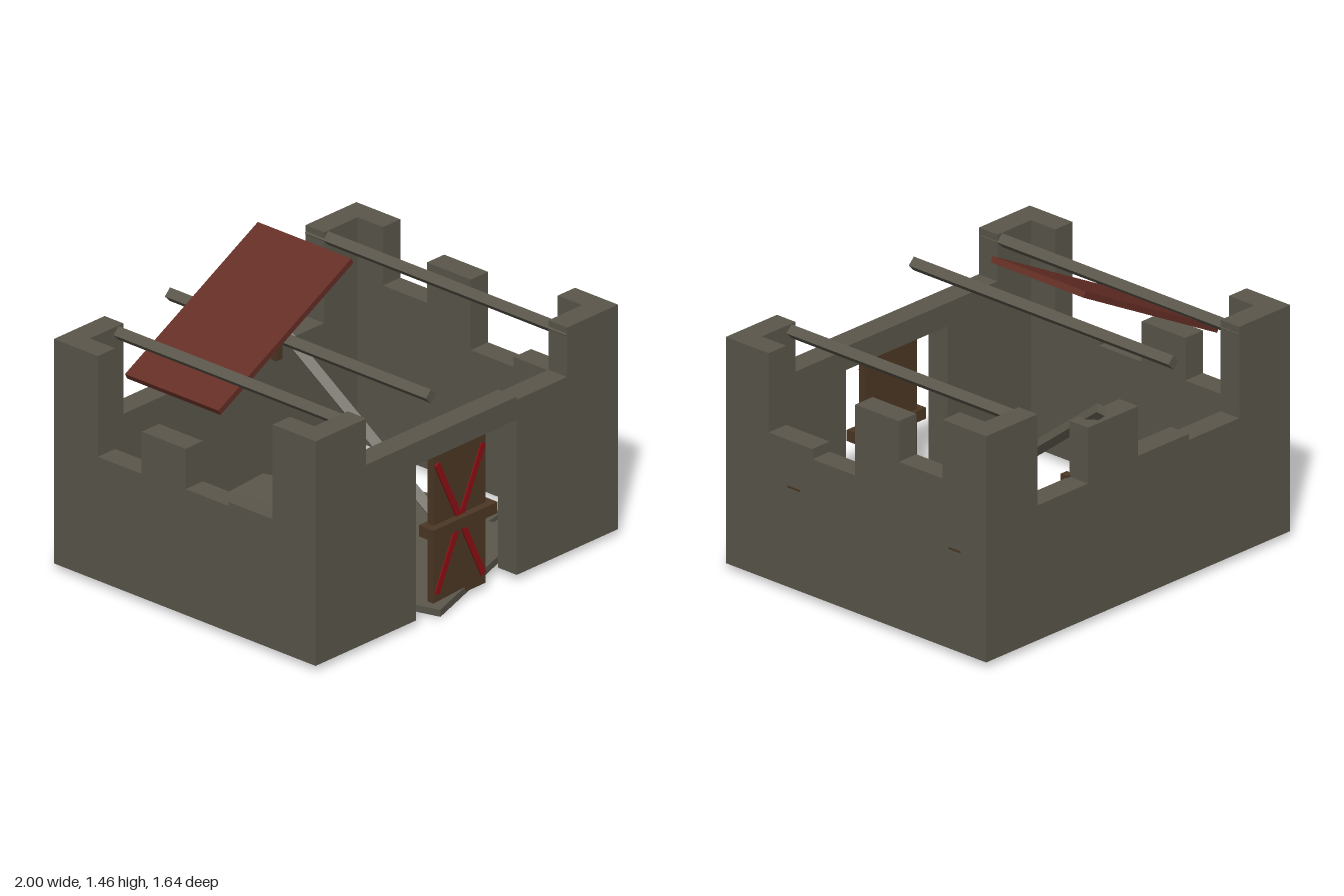
import * as THREE from 'three';

const mat = (name, color) => {
  const m = new THREE.MeshStandardMaterial({ color, flatShading: true });
  m.name = name;
  return m;
};

export function createModel() {
  const model = new THREE.Group();
  model.name = 'ruinedKeep';
  const stone = mat('stone', 0x5a564b);
  const rust = mat('rustRed', 0x642e24);
  const wood = mat('darkWood', 0x4b3724);
  const paint = mat('redPaint', 0x8a0f14);

  const add = (name, geometry, material) => {
    const mesh = new THREE.Mesh(geometry, material);
    mesh.name = name;
    model.add(mesh);
    return mesh;
  };
  const box = (name, size, pos, material, rot = [0, 0, 0]) => {
    const mesh = add(name, new THREE.BoxGeometry(...size), material);
    mesh.position.set(...pos);
    mesh.rotation.set(...rot);
    return mesh;
  };

  // Broken walls: steps are [start, top height] along the wall
  const BASE = 0.035, T = 0.115, TOP = 1.15;
  const wallGeometry = (steps, end, door) => {
    const pts = [[steps[0][0], BASE]];
    steps.forEach(([a, h], i) => {
      const b = i + 1 < steps.length ? steps[i + 1][0] : end;
      pts.push([a, h], [b, h]);
    });
    pts.push([end, BASE]);
    if (door) pts.push([door[1], BASE], [door[1], door[2]], [door[0], door[2]], [door[0], BASE]);
    const shape = new THREE.Shape(pts.map(p => new THREE.Vector2(...p)));
    return new THREE.ExtrudeGeometry(shape, { depth: T, bevelEnabled: false });
  };

  add('frontWall', wallGeometry(
    [[-1, TOP], [-0.665, 0.92], [0.33, 0.905], [0.663, TOP]], 1, [-0.335, 0.33, 0.805]
  ).translate(0, 0, 0.685), stone);
  add('backWall', wallGeometry(
    [[-1, TOP], [-0.665, 0.70], [-0.335, 0.73], [0, 0.975], [0.33, 0.70], [0.663, TOP]], 1
  ).translate(0, 0, -0.81), stone);
  add('rightSideWall', wallGeometry(
    [[-0.695, TOP], [-0.54, 0.65], [-0.27, 0.86], [0, 0.66], [0.265, 0.68], [0.535, TOP]], 0.685
  ).rotateY(-Math.PI / 2).translate(-1 + T, 0, 0), stone);
  add('leftSideWall', wallGeometry(
    [[-0.695, TOP], [-0.54, 0.86], [-0.27, 1.06], [0, 0.71], [0.265, 0.76], [0.535, TOP]], 0.685
  ).rotateY(-Math.PI / 2).translate(1, 0, 0), stone);

  // Roof beams, square section set on edge
  const beam = (name, a, b) => {
    const start = new THREE.Vector3(...a), end = new THREE.Vector3(...b);
    const g = new THREE.BoxGeometry(0.048, 0.048, start.distanceTo(end)).rotateZ(Math.PI / 4);
    const mesh = add(name, g, stone);
    mesh.position.copy(start).add(end).multiplyScalar(0.5);
    mesh.lookAt(end);
  };
  for (const x of [-0.696, -0.235, 0.69]) beam('roofBeam', [x, 1.113, -0.808], [x, 1.113, 0.798]);
  beam('fallenBeam', [0.232, 1.03, -0.8], [0.337, 0.16, 0.305]);

  // Remaining roof panel
  box('roofPanel', [0.99, 0.03, 0.575], [-0.39, 1.225, -0.238], rust, [0, 0, 0.48]);

  // Loose floor slabs, slightly tilted
  const slab = (size, pos, yaw, tiltX, tiltZ) => {
    const mesh = box('floorSlab', size, pos, stone);
    mesh.rotation.set(tiltX, yaw, tiltZ, 'ZXY');
  };
  slab([0.85, 0.035, 1.42], [0.02, 0.052, 0.025], 0.27, 0.01, 0.06);
  slab([1.25, 0.03, 0.6], [0.075, 0.035, 0.15], 0.19, -0.01, 0.01);
  slab([0.75, 0.025, 0.99], [0.32, 0.03, 0.095], 0.23, 0.008, -0.012);

  // Boarded door with a painted cross
  box('door', [0.345, 0.765, 0.035], [-0.003, 0.42, 0.74], wood);
  box('doorBar', [0.425, 0.055, 0.09], [-0.003, 0.41, 0.75], wood);
  for (const s of [-1, 1])
    box('paintedCross', [0.032, 0.715, 0.008], [-0.003, 0.415, 0.761 + s * 0.0005], paint, [0, 0, s * 0.445]);

  // Plank ends showing in the stonework
  for (const z of [0.38, -0.615]) box('plankEnd', [0.008, 0.01, 0.075], [0.998, 0.53, z], wood);
  box('plankStub', [0.04, 0.07, 0.04], [0.33, 0.675, -0.68], wood);

  return model;
}
